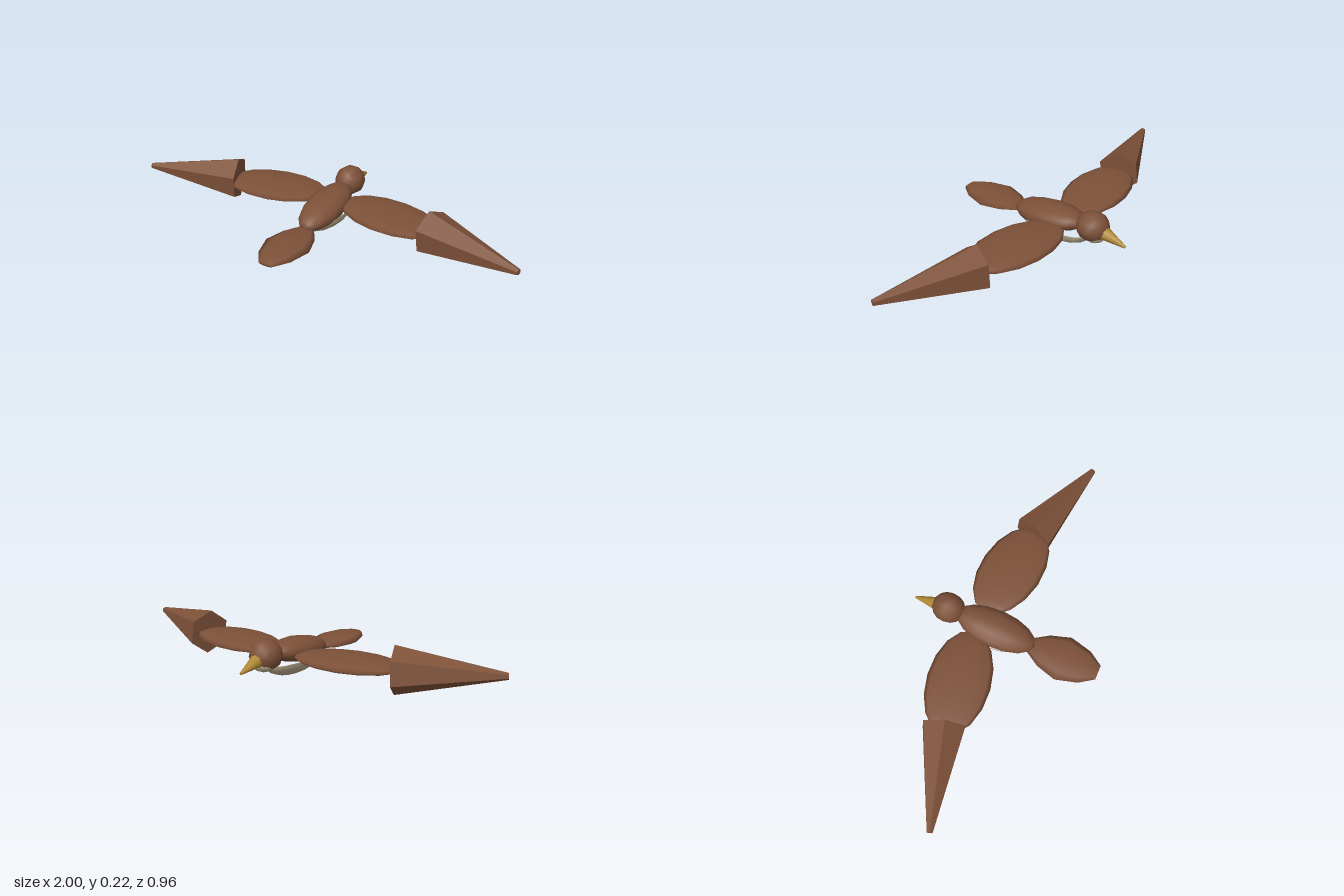
import * as THREE from 'three';

const mat = (name, color, flatShading = false) => {
  const m = new THREE.MeshStandardMaterial({ color, flatShading });
  m.name = name;
  return m;
};

export function createModel() {
  const bird = new THREE.Group();
  bird.name = 'bird';
  const brown = mat('brown plumage', 0x7d5139);
  const cream = mat('cream underside', 0xb5a68a);
  const gold = mat('golden beak', 0xb08a35);
  // same plumage colour, faceted for the hexagonal wing tips
  const facet = brown.clone();
  facet.flatShading = true;

  const add = (parent, name, geo, material, pos = [0, 0, 0]) => {
    const mesh = new THREE.Mesh(geo, material);
    mesh.name = name;
    mesh.position.set(...pos);
    parent.add(mesh);
    return mesh;
  };
  // low-poly ellipsoid with its poles along z
  const ellipsoid = (rx, ry, rz, sides = 12, rings = 8) =>
    new THREE.SphereGeometry(1, sides, rings).rotateX(Math.PI / 2).scale(rx, ry, rz);
  // blunt cone running between two points
  const taper = (parent, name, from, to, r0, r1, sides, material, start = 0) => {
    const a = new THREE.Vector3(...from), b = new THREE.Vector3(...to);
    const dir = b.clone().sub(a);
    const geo = new THREE.CylinderGeometry(r1, r0, dir.length(), sides, 1, false, start);
    const mesh = add(parent, name, geo, material, a.add(b).multiplyScalar(0.5).toArray());
    mesh.quaternion.setFromUnitVectors(new THREE.Vector3(0, 1, 0), dir.normalize());
    return mesh;
  };

  // body and belly
  const back = add(bird, 'body', ellipsoid(0.097, 0.06, 0.205), brown, [0, 0.113, -0.05]);
  back.rotation.x = 0.12;
  const bowl = new THREE.SphereGeometry(1, 14, 5, 0, Math.PI * 2, Math.PI / 2, Math.PI / 2);
  const belly = add(bird, 'belly', bowl.scale(0.098, 0.084, 0.21), cream, [0, 0.09, -0.08]);
  belly.rotation.x = -0.02;

  // head, throat and beak
  add(bird, 'head', ellipsoid(0.076, 0.075, 0.081, 10, 8), brown, [0, 0.143, -0.3]);
  add(bird, 'throat', ellipsoid(0.058, 0.04, 0.048, 10, 8), cream, [0, 0.11, -0.322]);
  taper(bird, 'beak', [0, 0.131, -0.37], [0, 0.104, -0.481], 0.032, 0.006, 8, gold);

  // tail: flattened barrel with blunt ends
  const profile = [[0, -0.176], [0.32, -0.176], [0.74, -0.1], [1, 0], [0.74, 0.11], [0.32, 0.18], [0, 0.18]]
    .map(([r, z]) => new THREE.Vector2(r, z));
  const tail = new THREE.LatheGeometry(profile, 8).rotateX(Math.PI / 2).scale(0.115, 0.024, 1);
  add(bird, 'tail', tail, brown, [0, 0.077, 0.302]);

  // wings, the second mirrored from the first
  for (const side of [1, -1]) {
    const wing = new THREE.Group();
    wing.name = side > 0 ? 'leftWing' : 'rightWing';
    const inner = add(wing, 'innerWing', ellipsoid(0.154, 0.027, 0.262).rotateY(Math.PI / 2), brown, [0.315, 0.118, -0.104]);
    inner.rotation.y = -0.15;
    taper(wing, 'wingTip', [0.535, 0.114, -0.08], [0.995, 0.134, 0.067], 0.112, 0.015, 6, facet, 0.33);
    wing.scale.x = side;
    bird.add(wing);
  }
  return bird;
}
